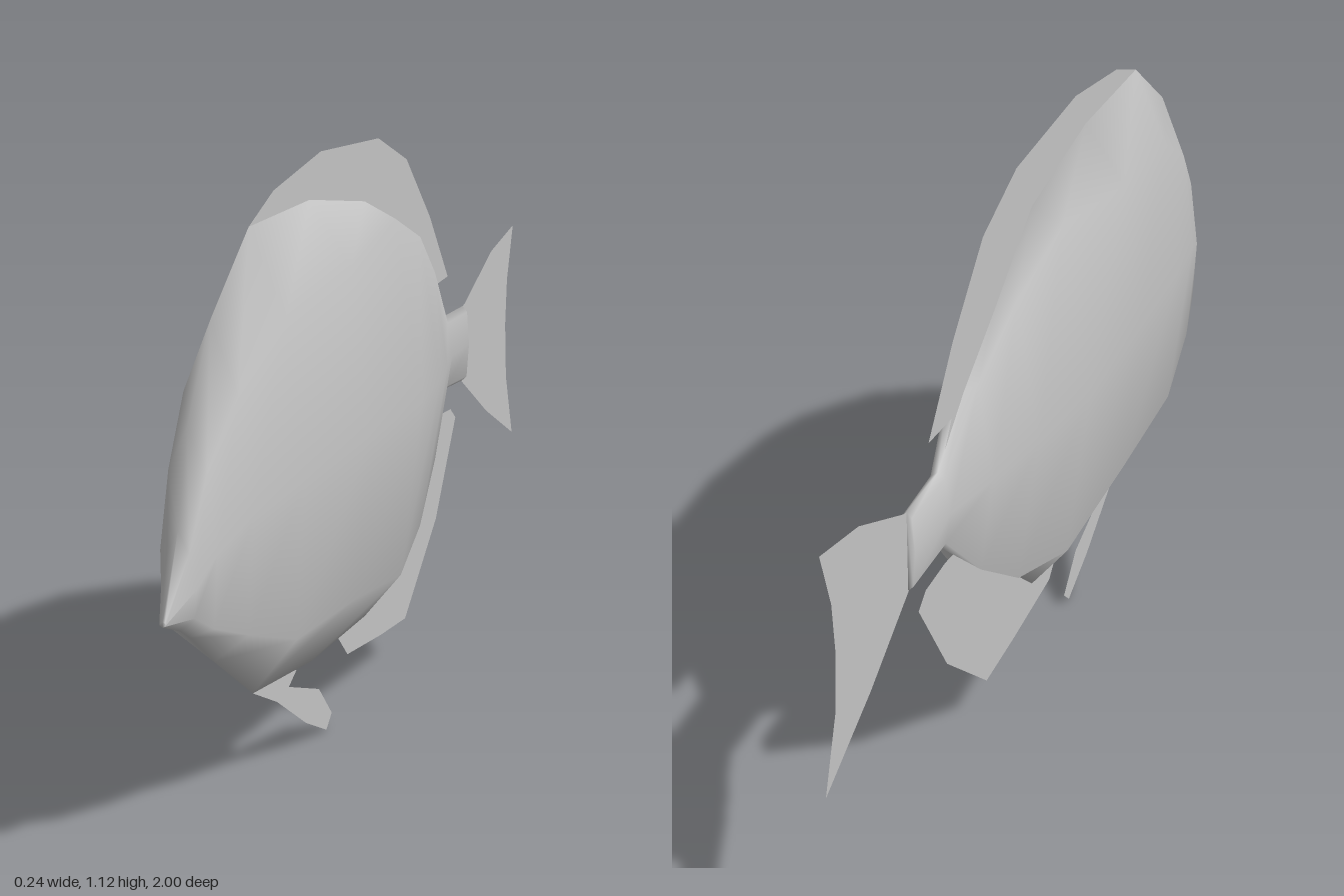
import * as THREE from 'three';

const skin = new THREE.MeshStandardMaterial({ color: 0xc4c4c4, side: THREE.DoubleSide });
skin.name = 'grey skin';

// Body cross-sections from snout to tail root:
// z, top y, shoulder y, shoulder x, side y, side x, belly y, belly x, bottom y
const SECTIONS = [
  [1.0, 0.452, 0.45, 0.004, 0.447, 0.006, 0.444, 0.004, 0.442],
  [0.93, 0.59, 0.55, 0.02, 0.49, 0.032, 0.44, 0.028, 0.415],
  [0.885, 0.755, 0.68, 0.035, 0.54, 0.052, 0.41, 0.045, 0.39],
  [0.78, 0.915, 0.79, 0.05, 0.58, 0.075, 0.37, 0.066, 0.315],
  [0.6, 1.045, 0.89, 0.068, 0.6, 0.1, 0.31, 0.085, 0.2],
  [0.3, 1.045, 0.925, 0.08, 0.61, 0.115, 0.3, 0.09, 0.168],
  [0.0, 0.995, 0.965, 0.062, 0.61, 0.118, 0.26, 0.075, 0.168],
  [-0.2, 0.865, 0.895, 0.046, 0.61, 0.09, 0.305, 0.048, 0.325],
  [-0.35, 0.775, 0.795, 0.028, 0.6, 0.056, 0.405, 0.03, 0.42],
  [-0.48, 0.675, 0.665, 0.014, 0.595, 0.024, 0.53, 0.014, 0.52],
  [-0.625, 0.672, 0.66, 0.01, 0.59, 0.015, 0.52, 0.01, 0.51],
];

function bodyGeometry() {
  const pos = [], index = [], n = 8;
  for (const [z, top, sy, sx, my, mx, by, bx, bottom] of SECTIONS) {
    pos.push(0, top, z, sx, sy, z, mx, my, z, bx, by, z,
      0, bottom, z, -bx, by, z, -mx, my, z, -sx, sy, z);
  }
  for (let i = 0; i < SECTIONS.length - 1; i++) {
    for (let j = 0; j < n; j++) {
      const a = i * n + j, b = i * n + (j + 1) % n;
      index.push(a, b, a + n, b, b + n, a + n);
    }
  }
  // Close the snout and the tail root
  const last = (SECTIONS.length - 1) * n;
  for (let j = 1; j < n - 1; j++) {
    index.push(0, j + 1, j, last, last + j, last + j + 1);
  }
  const g = new THREE.BufferGeometry();
  g.setAttribute('position', new THREE.Float32BufferAttribute(pos, 3));
  g.setIndex(index);
  g.computeVertexNormals();
  return g;
}

// Flat fins on the centre plane, outlined as [z, y]
const FINS = {
  dorsalFin: [[0.6, 1.045], [0.48, 1.09], [0.24, 1.125], [-0.08, 1.105], [-0.25, 1.04],
    [-0.4, 0.9], [-0.52, 0.755], [-0.41, 0.75], [-0.45, 0.695], [-0.35, 0.7], [-0.2, 0.8], [0, 0.93], [0.3, 0.98]],
  analFin: [[0.16, 0.175], [0.1, 0.12], [-0.1, 0.1], [-0.25, 0.09], [-0.45, 0.25],
    [-0.58, 0.44], [-0.545, 0.465], [-0.45, 0.47], [-0.35, 0.46], [-0.2, 0.37], [0, 0.23]],
  pelvicFin: [[0.6, 0.2], [0.48, 0.145], [0.33, 0.055], [0.22, 0.005], [0.19, 0.03],
    [0.26, 0.1], [0.42, 0.155], [0.38, 0.175], [0.5, 0.21]],
  tailFin: [[-0.6, 0.665], [-0.64, 0.675], [-0.83, 0.755], [-0.99, 0.785], [-0.95, 0.67], [-0.94, 0.57],
    [-0.95, 0.45], [-1.0, 0.31], [-0.8, 0.405], [-0.62, 0.51], [-0.6, 0.52]],
};

export function createModel() {
  const fish = new THREE.Group();
  fish.name = 'fish';

  const add = (name, geometry) => {
    const mesh = new THREE.Mesh(geometry, skin);
    mesh.name = name;
    fish.add(mesh);
  };

  add('body', bodyGeometry());
  for (const [name, outline] of Object.entries(FINS)) {
    const shape = new THREE.Shape(outline.map(([z, y]) => new THREE.Vector2(z, y)));
    add(name, new THREE.ShapeGeometry(shape).rotateY(-Math.PI / 2));
  }
  return fish;
}
